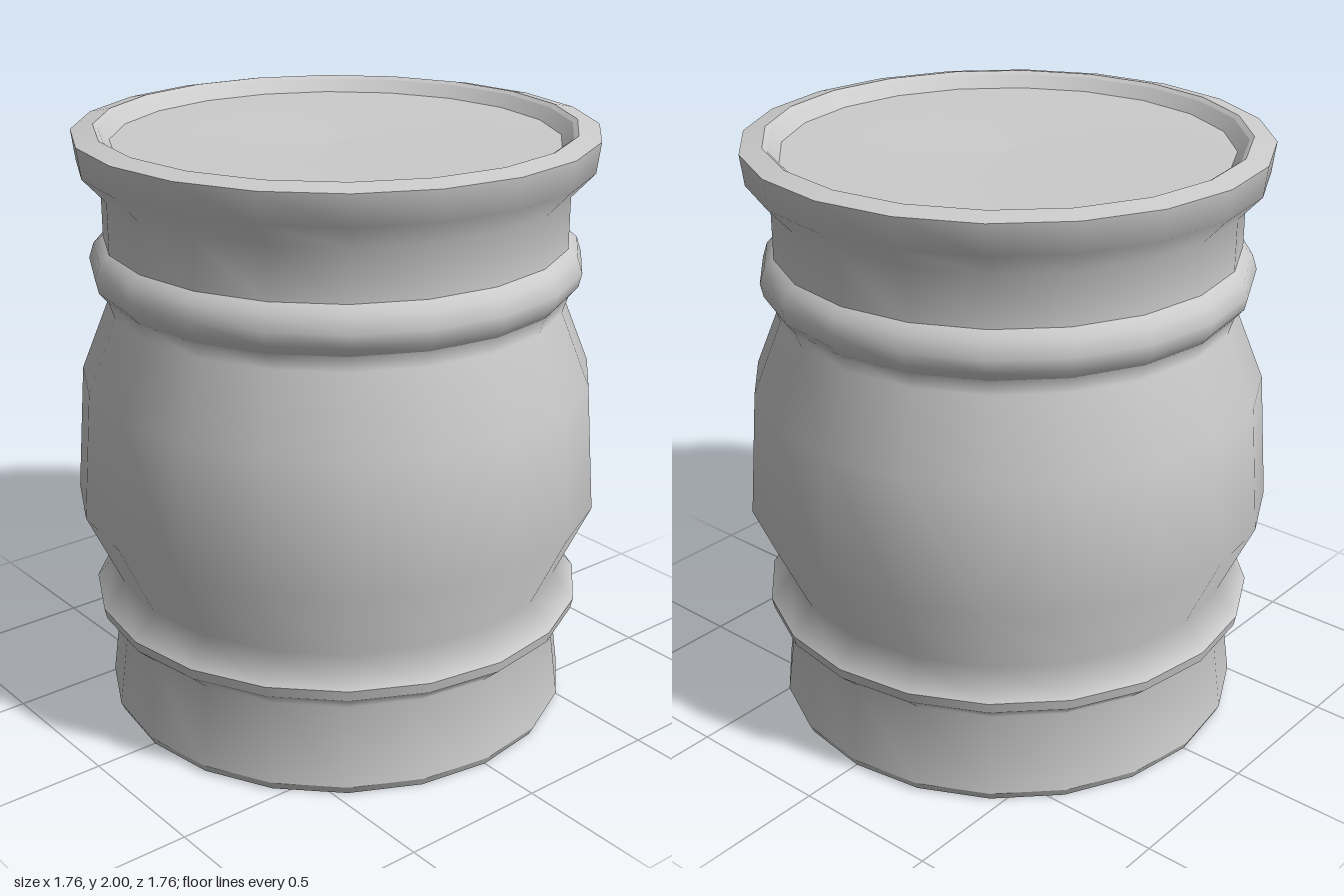
import * as THREE from 'three';

const SIDES = 20;

export function createModel() {
  const model = new THREE.Group();
  const material = new THREE.MeshStandardMaterial({ color: 0xcccccc });

  // Each part is turned from [radius, height] points; smooth within, sharp where parts meet.
  const turn = (name, profile) => {
    const points = profile.map(([r, y]) => new THREE.Vector2(r, y));
    const mesh = new THREE.Mesh(new THREE.LatheGeometry(points, SIDES), material);
    mesh.name = name;
    model.add(mesh);
  };

  // Foot
  turn('underside', [[0, 0], [0.78, 0]]);
  turn('bottomBevel', [[0.78, 0], [0.795, 0.03]]);
  turn('foot', [[0.795, 0.03], [0.76, 0.305], [0.828, 0.368]]);

  // Lower ring edge, then its slope running up into the swollen belly
  turn('lowerRing', [[0.828, 0.368], [0.836, 0.405]]);
  turn('belly', [
    [0.836, 0.405], [0.763, 0.495], [0.881, 0.75],
    [0.848, 1.18], [0.75, 1.425], [0.768, 1.48],
  ]);

  // Rounded upper ring
  turn('upperRing', [
    [0.768, 1.48], [0.798, 1.515], [0.808, 1.56], [0.792, 1.61], [0.76, 1.637],
  ]);

  // Neck flaring out to the rim
  turn('neck', [[0.76, 1.637], [0.76, 1.805], [0.834, 1.885], [0.847, 1.985]]);
  turn('rim', [[0.847, 1.985], [0.775, 2]]);
  turn('rimInnerBevel', [[0.775, 2], [0.76, 1.99]]);
  turn('rimInnerWall', [[0.76, 1.99], [0.725, 1.95]]);

  // Recessed lid, dished slightly at the centre
  turn('lid', [[0.725, 1.95], [0.35, 1.947], [0, 1.935]]);

  return model;
}
